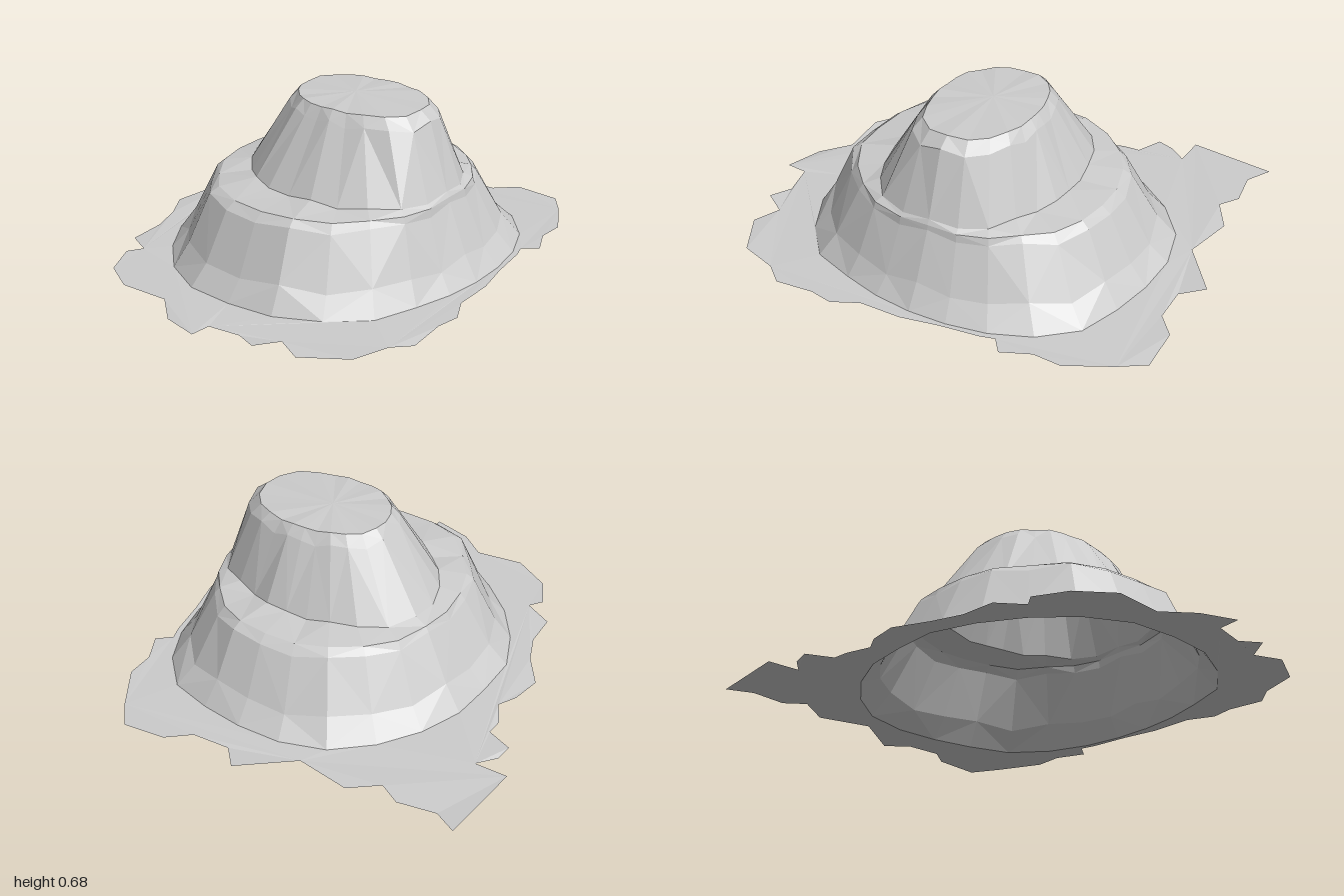
import * as THREE from 'three';

const CX = 0.05, CZ = 0.15, N = 24;

// Radii of the hill's contours every 15 degrees, from +x towards +z
const foot = [.725, .72, .74, .71, .67, .64, .63, .64, .67, .74, .76, .78,
  .78, .8, .79, .77, .76, .76, .735, .745, .75, .76, .77, .75];
const ledgeOuter = [.55, .55, .54, .51, .5, .49, .485, .505, .54, .56, .59, .62,
  .62, .63, .63, .6, .59, .57, .56, .56, .57, .57, .57, .56];
const ledgeInner = [.36, .37, .37, .4, .45, .465, .47, .485, .5, .47, .45, .43,
  .42, .43, .43, .43, .44, .46, .48, .49, .47, .43, .39, .37];
const shoulder = [.24, .25, .27, .3, .34, .37, .38, .385, .36, .31, .28, .26,
  .25, .255, .26, .265, .275, .285, .29, .295, .29, .27, .25, .24];

// Ragged outline of the ground around the hill, as x, z
const groundEdge = [
  [.48, -.91], [.86, -.88], [.8, -.78], [.83, -.62], [.78, -.53], [.86, -.41], [.82, -.18],
  [.99, .03], [.9, .11], [.91, .27], [.99, .36], [1, .55], [.9, .63], [.72, .74], [.6, .74],
  [.48, .8], [.43, .74], [.37, .76], [.2, .79], [.04, .83], [-.14, .84], [-.25, .9],
  [-.35, .885], [-.52, .9], [-.6, .84], [-.76, .8], [-.87, .62], [-.82, .51], [-.92, .45],
  [-.88, .35], [-.91, .22], [-1, .22], [-.96, .05], [-.86, -.07], [-.88, -.28], [-.79, -.44],
  [-.65, -.51], [-.59, -.47], [-.53, -.59], [-.37, -.6], [-.24, -.65], [-.11, -.74],
  [.03, -.72], [.11, -.68], [.2, -.73], [.28, -.73], [.33, -.84], [.4, -.83], [.48, -.77],
];

// A contour at height y, with a slight uneven wobble
function ring(radii, y, wobble = 0) {
  return radii.map((r, i) => {
    const a = (i / N) * Math.PI * 2;
    const dy = wobble * Math.sin(i * 2.4);
    return new THREE.Vector3(CX + r * Math.cos(a), y + dy, CZ + r * Math.sin(a));
  });
}

const blend = (a, b, t) => a.map((r, i) => r + (b[i] - r) * t);

// Faceted surface between successive contours, diagonals alternating
function loft(rings) {
  const tris = [];
  for (let k = 0; k + 1 < rings.length; k++) {
    const lo = rings[k], up = rings[k + 1];
    for (let i = 0; i < N; i++) {
      const j = (i + 1) % N;
      if ((i + k) % 2) tris.push(lo[i], up[i], lo[j], lo[j], up[i], up[j]);
      else tris.push(lo[i], up[i], up[j], lo[i], up[j], lo[j]);
    }
  }
  const geo = new THREE.BufferGeometry().setFromPoints(tris);
  geo.computeVertexNormals();
  return geo;
}

export function createModel() {
  const group = new THREE.Group();
  const stone = new THREE.MeshStandardMaterial({ color: 0xcccccc, side: THREE.DoubleSide });
  stone.name = 'pale grey stone';
  const add = (name, geo) => {
    const mesh = new THREE.Mesh(geo, stone);
    mesh.name = name;
    group.add(mesh);
  };

  const footRing = ring(foot, 0.01);
  const rim = ring(ledgeOuter, 0.305, 0.012);
  const ledgeEdge = ring(blend(ledgeOuter, ledgeInner, 0.2), 0.335, 0.004);
  const peakFoot = ring(ledgeInner, 0.352, 0.008);
  const shoulderRing = ring(shoulder, 0.625, 0.012);
  const summitRing = ring(shoulder.map((r) => r * 0.87), 0.67, 0.003);
  const centre = ring(shoulder.map(() => 0), 0.677);

  add('lowerSlope', loft([footRing, ring(blend(foot, ledgeOuter, 0.42), 0.1, 0.015), rim]));
  add('ledge', loft([rim, ledgeEdge, peakFoot]));
  add('upperSlope', loft([peakFoot, shoulderRing, summitRing]));
  add('summit', loft([summitRing, centre]));

  // Thin flat ground, open beneath the hill
  const shape = new THREE.Shape(groundEdge.map(([x, z]) => new THREE.Vector2(x, -z)));
  shape.holes.push(new THREE.Path(footRing.map((p) => new THREE.Vector2(p.x, -p.z))));
  let ground = new THREE.ShapeGeometry(shape).rotateX(-Math.PI / 2);
  const pos = ground.attributes.position;
  for (let i = 0; i < pos.count; i++) {
    const r = Math.hypot(pos.getX(i) - CX, pos.getZ(i) - CZ);
    pos.setY(i, r > 0.81 ? 0.005 + 0.005 * Math.sin(i * 2.1) : 0.01);
  }
  ground = ground.toNonIndexed();
  ground.computeVertexNormals();
  add('ground', ground);

  return group;
}
